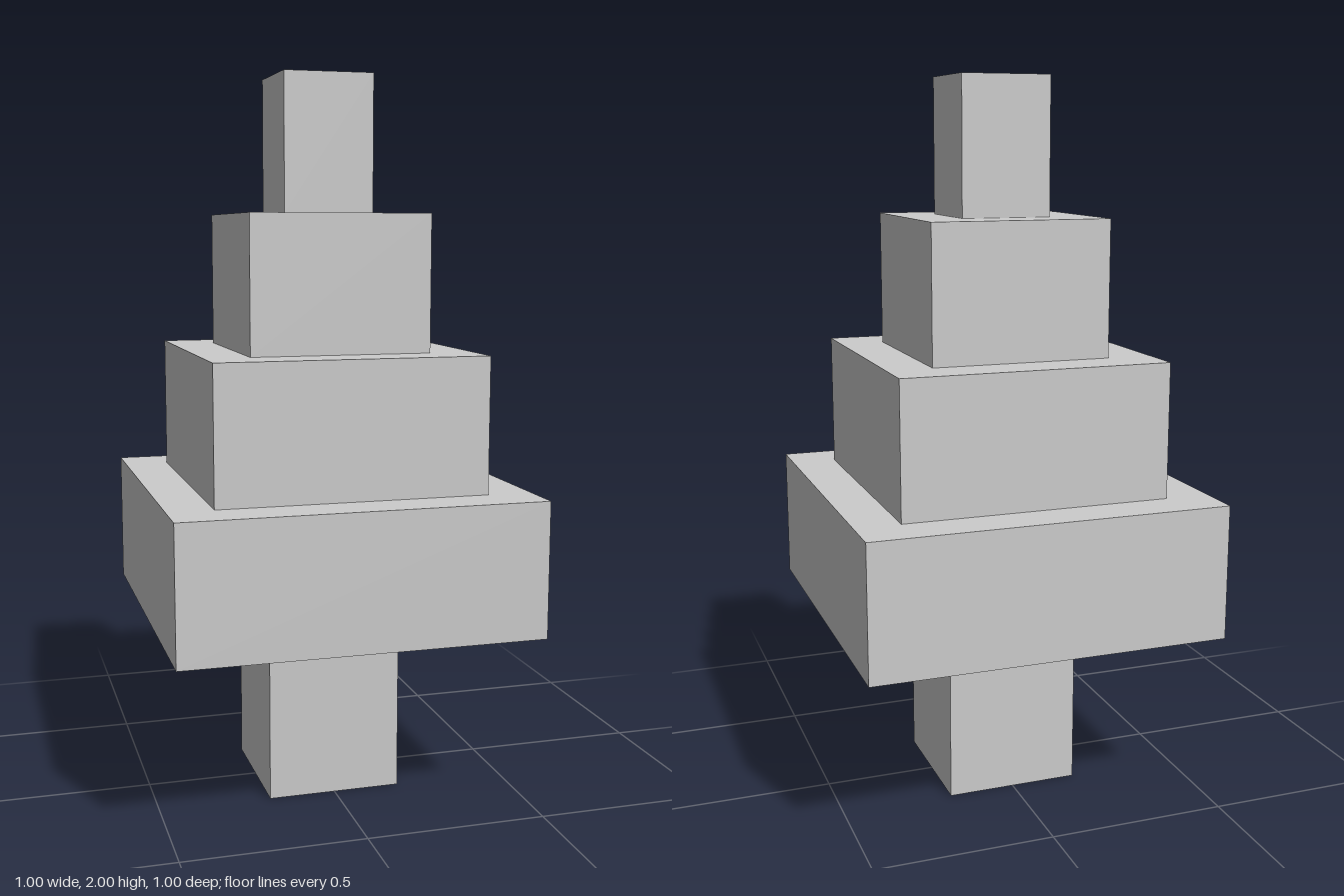
import * as THREE from 'three';

const TRUNK_WIDTH = 0.375;
const TRUNK_HEIGHT = 0.5;
const TIER_WIDTHS = [1, 0.75, 0.5, 0.25];
const TIER_HEIGHT = 0.375;

export function createModel() {
  const model = new THREE.Group();
  model.name = 'blockTree';
  const material = new THREE.MeshStandardMaterial({ color: 0xcccccc, flatShading: true });

  // Square block standing on the given height
  const addBlock = (name, width, height, bottom) => {
    const block = new THREE.Mesh(new THREE.BoxGeometry(width, height, width), material);
    block.name = name;
    block.position.y = bottom + height / 2;
    model.add(block);
  };

  // Trunk
  addBlock('trunk', TRUNK_WIDTH, TRUNK_HEIGHT, 0);

  // Foliage tiers, narrowing towards the top
  TIER_WIDTHS.forEach((width, i) => {
    addBlock(`foliageTier${i + 1}`, width, TIER_HEIGHT, TRUNK_HEIGHT + i * TIER_HEIGHT);
  });

  return model;
}
